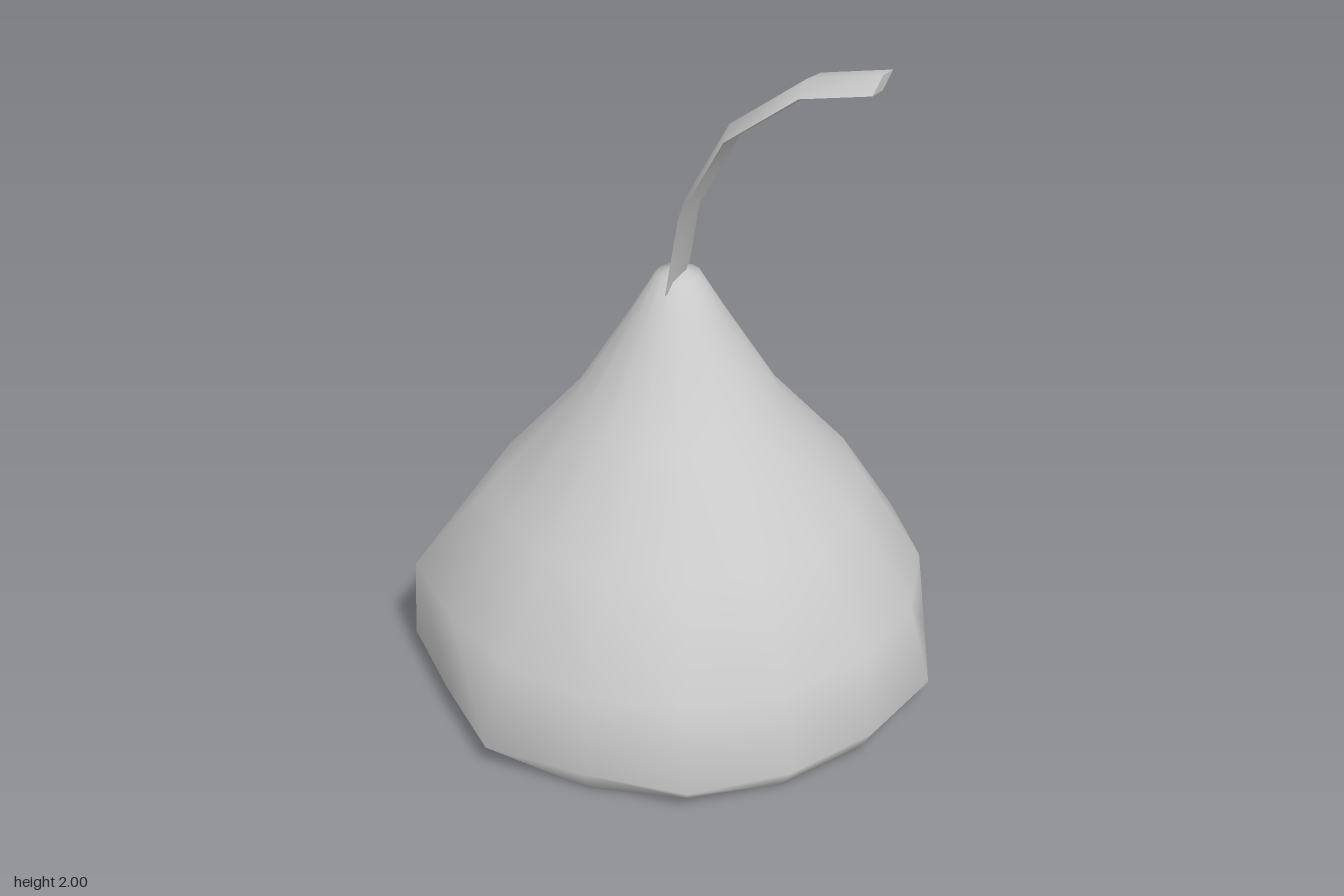
import * as THREE from 'three';
import { mergeVertices } from 'three/addons/utils/BufferGeometryUtils.js';

const SIDES = 16;
const CX = -0.015, CZ = 0.02;
const grey = new THREE.MeshStandardMaterial({ color: 0xcccccc });
const greyThin = new THREE.MeshStandardMaterial({ color: 0xcccccc, side: THREE.DoubleSide });

// Uneven radius of the widest ring, from +x turning toward +z
const RIM = [0.795, 0.77, 0.775, 0.8, 0.76, 0.81, 0.755, 0.807,
  0.765, 0.785, 0.79, 0.76, 0.8, 0.75, 0.803, 0.757];

// Teardrop body: a lathe with a slightly crumpled rim, smooth all over
function makeBody() {
  const profile = [[0, 0], [0.72, 0], [0.78, 0.08], [0.73, 0.33], [0.55, 0.62],
    [0.31, 0.9], [0.14, 1.18], [0.065, 1.31], [0, 1.33]];
  let geo = new THREE.LatheGeometry(profile.map(([r, y]) => new THREE.Vector2(r, y)), SIDES);
  geo.deleteAttribute('normal');
  geo.deleteAttribute('uv');
  const p = geo.attributes.position;
  for (let i = 0; i < p.count; i++) {
    const x = p.getX(i), y = p.getY(i), z = p.getZ(i);
    const k = (Math.round(Math.atan2(z, x) / (Math.PI * 2) * SIDES) + SIDES) % SIDES;
    let s = 1;
    if (Math.abs(y - 0.08) < 0.01) s = RIM[k] / 0.78;
    if (Math.abs(y - 0.33) < 0.01 && k === 7) s = 1.09;
    p.setXYZ(i, x * s + CX, y, z * s + CZ);
  }
  geo = mergeVertices(geo, 1e-4);
  geo.computeVertexNormals();
  const mesh = new THREE.Mesh(geo, grey);
  mesh.name = 'body';
  return mesh;
}

// One ridged face of the paper strip; side is +1 for outer, -1 for inner
function makeStripFace(path, normals, side) {
  const pos = [], index = [];
  path.forEach((c, i) => {
    for (const w of [-1, 0, 1]) {
      const bulge = w === 0 ? 0.021 * side : 0;
      pos.push(c[0] + normals[i].x * bulge, c[1] + normals[i].y * bulge, CZ + w * 0.095);
    }
  });
  for (let i = 0; i < path.length - 1; i++) {
    for (let j = 0; j < 2; j++) {
      const a = i * 3 + j, b = a + 1, c = a + 3, d = a + 4;
      if (side > 0) index.push(a, b, c, b, d, c);
      else index.push(a, c, b, b, c, d);
    }
  }
  const geo = new THREE.BufferGeometry();
  geo.setAttribute('position', new THREE.Float32BufferAttribute(pos, 3));
  geo.setIndex(index);
  geo.computeVertexNormals();
  return new THREE.Mesh(geo, greyThin);
}

// Curling strip with a thin diamond section
function makeStrip() {
  const path = [[-0.02, 1.28], [0.02, 1.53], [0.15, 1.78], [0.36, 1.94], [0.56, 1.979]];
  const normals = path.map((_, i) => {
    const a = path[Math.max(i - 1, 0)], b = path[Math.min(i + 1, path.length - 1)];
    return new THREE.Vector2(a[1] - b[1], b[0] - a[0]).normalize();
  });
  normals[path.length - 1].set(0, 1);
  const strip = new THREE.Group();
  strip.name = 'paperStrip';
  const outer = makeStripFace(path, normals, 1);
  outer.name = 'stripOuterFace';
  const inner = makeStripFace(path, normals, -1);
  inner.name = 'stripInnerFace';

  // Diamond cap on the free end
  const [ex, ey] = path[path.length - 1];
  const shape = new THREE.Shape([[-0.095, 0], [0, -0.021], [0.095, 0], [0, 0.021]]
    .map(([x, y]) => new THREE.Vector2(x, y)));
  const cap = new THREE.Mesh(new THREE.ShapeGeometry(shape), greyThin);
  cap.rotation.y = Math.PI / 2;
  cap.position.set(ex, ey, CZ);
  cap.name = 'stripTip';
  strip.add(outer, inner, cap);
  return strip;
}

export function createModel() {
  const model = new THREE.Group();
  model.name = 'wrappedSweet';
  model.add(makeBody(), makeStrip());
  return model;
}
